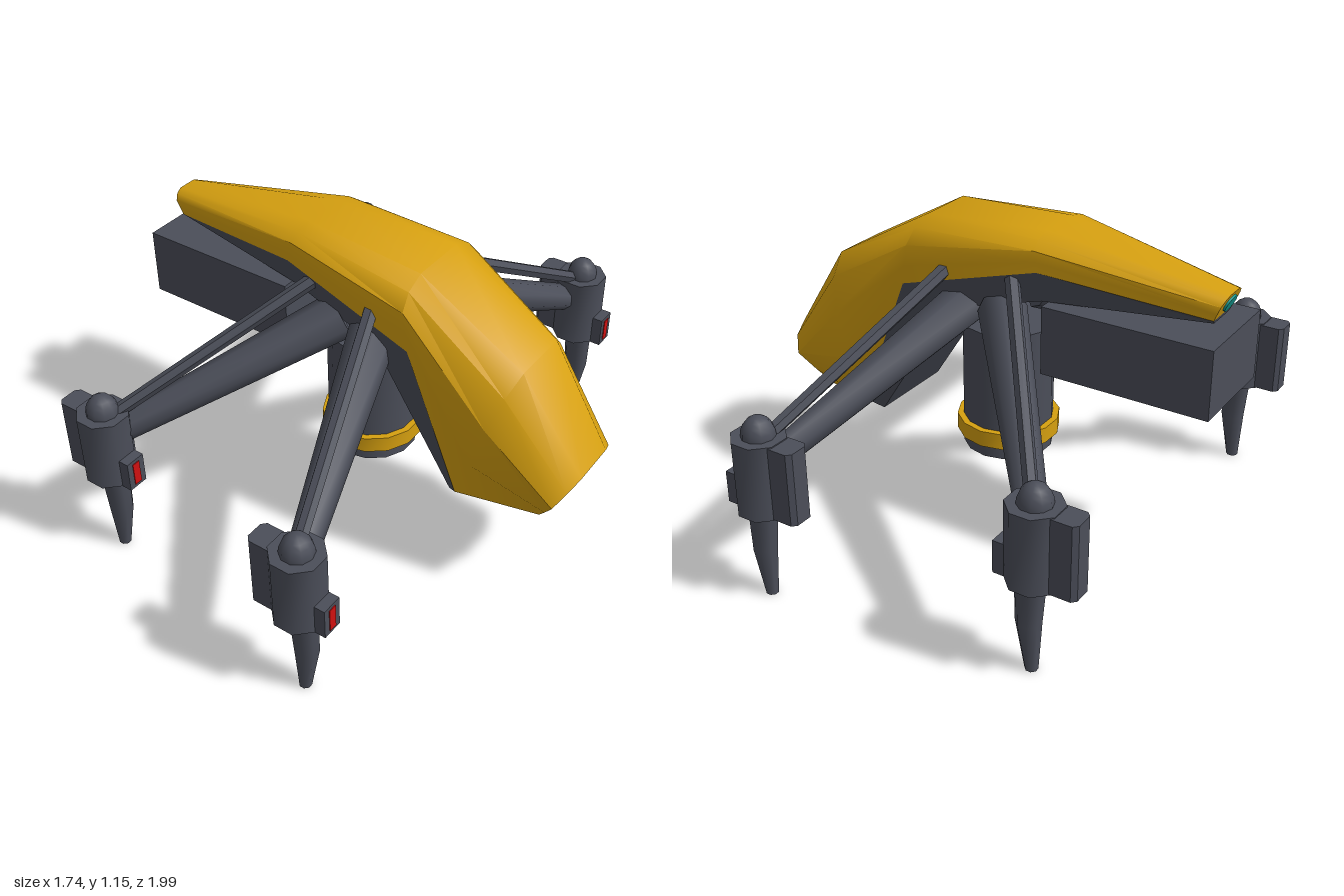
import * as THREE from 'three';
import { toCreasedNormals } from 'three/addons/utils/BufferGeometryUtils.js';

const mat = (color) => new THREE.MeshStandardMaterial({ color });
const GREY = mat(0x4b4e59), YELLOW = mat(0xd6a010), RED = mat(0xd01010), TEAL = mat(0x159a90);

function add(parent, name, geometry, material, x = 0, y = 0, z = 0) {
  const m = new THREE.Mesh(geometry, material);
  m.name = name;
  m.position.set(x, y, z);
  parent.add(m);
  return m;
}

// Skin over a row of cross-sections, capped at both ends
function loft(rings, closed, crease = 0.6) {
  const n = rings[0].length, index = [];
  const last = (rings.length - 1) * n;
  for (let i = 0; i < rings.length - 1; i++) {
    for (let j = 0; j < (closed ? n : n - 1); j++) {
      const a = i * n + j, b = i * n + (j + 1) % n;
      index.push(a, a + n, b, b, a + n, b + n);
    }
  }
  for (let j = 1; j < n - 1; j++) index.push(0, j, j + 1, last, last + j + 1, last + j);
  const g = new THREE.BufferGeometry();
  g.setAttribute('position', new THREE.Float32BufferAttribute(rings.flat(2), 3));
  g.setIndex(index);
  g.computeVertexNormals();
  return toCreasedNormals(g, crease);
}

// Tapered tube between two points
function strut(parent, name, from, to, r0, r1, sides) {
  const a = new THREE.Vector3(...from), b = new THREE.Vector3(...to);
  const dir = b.clone().sub(a);
  const g = toCreasedNormals(new THREE.CylinderGeometry(r1, r0, dir.length(), sides), 0.9);
  const m = add(parent, name, g, GREY);
  m.position.copy(a).add(b).multiplyScalar(0.5);
  m.quaternion.setFromUnitVectors(new THREE.Vector3(0, 1, 0), dir.normalize());
}

// Body stations: top, shell edge and belly points (x, y), half width, edge half width
const STATIONS = [
  { t: [-0.85, 1.05], e: [-0.815, 0.967], g: [-0.81, 0.952], w: 0.075, we: 0.07 },
  { t: [-0.22, 1.15], e: [-0.24, 1.04], g: [-0.24, 0.925], w: 0.18, we: 0.185 },
  { t: [0.24, 1.125], e: [0.27, 0.90], g: [0.11, 0.83], w: 0.225, we: 0.225 },
  { t: [0.635, 0.90], e: [0.47, 0.39], g: [0.42, 0.345], w: 0.23, we: 0.22 },
  { t: [0.865, 0.555], e: [0.73, 0.322], g: [0.73, 0.31], w: 0.185, we: 0.09 },
];

function buildBody(group) {
  // Arch: depth from top to edge, share of the half width
  const arch = [[1, 1], [0.7, 1], [0.36, 1], [0.13, 0.8], [0, 0.47]];
  const shell = STATIONS.map(({ t, e, w, we }) => {
    const half = arch.map(([d, s]) => [
      t[0] + (e[0] - t[0]) * d,
      t[1] + (e[1] - t[1]) * d,
      s * (d === 1 ? we : d === 0.7 ? (w + we) / 2 : w),
    ]);
    return [...half, ...half.map(([x, y, z]) => [x, y, -z]).reverse()];
  });
  add(group, 'bodyShell', loft(shell, false, 0.75), YELLOW);

  const belly = STATIONS.map(({ e, g, we }) => [
    [...e, -we], [...g, -we * 0.78], [...g, we * 0.78], [...e, we],
  ]);
  add(group, 'belly', loft(belly, false, 0.4), GREY);

  // Tail light set into the end of the shell
  const light = new THREE.CylinderGeometry(0.03, 0.03, 0.012, 12);
  const tail = add(group, 'tailLight', light, TEAL, -0.834, 1.009, 0);
  tail.rotation.z = Math.PI / 2 + 0.4;
  tail.scale.z = 1.3;

  add(group, 'batteryPod', new THREE.BoxGeometry(0.61, 0.245, 0.365), GREY, -0.565, 0.802, 0);
}

function buildCamera(group) {
  const cam = new THREE.Group();
  cam.name = 'camera';
  cam.position.x = -0.02;
  group.add(cam);
  const drum = (name, r, y0, y1, m) => add(cam, name,
    toCreasedNormals(new THREE.CylinderGeometry(r, r, y1 - y0, 14), 0.6), m, 0, (y0 + y1) / 2, 0);
  drum('cameraBarrel', 0.163, 0.273, 0.755, GREY);
  drum('cameraRing', 0.186, 0.325, 0.385, YELLOW);
  drum('cameraNeck', 0.047, 0.74, 0.95, GREY);
}

// Motor housing with dome, fin, lamp and landing leg
function buildMotor(group, x, z) {
  const pod = new THREE.Group();
  pod.name = 'motorPod';
  pod.position.set(x, 0, z);
  group.add(pod);

  const housing = new THREE.CylinderGeometry(0.094, 0.094, 0.27, 8);
  housing.rotateY(Math.PI / 8);
  add(pod, 'motorHousing', toCreasedNormals(housing, 0.9), GREY, 0, 0.475, 0);

  const dome = new THREE.SphereGeometry(0.058, 10, 5, 0, Math.PI * 2, 0, Math.PI / 2);
  add(pod, 'motorDome', dome.scale(1, 1.25, 1), GREY, 0, 0.608, 0);

  // Fin with chamfered upright corners
  const fin = new THREE.Shape([[-0.165, -0.03], [-0.15, -0.046], [-0.05, -0.046],
    [-0.05, 0.046], [-0.15, 0.046], [-0.165, 0.03]].map(([a, b]) => new THREE.Vector2(a, b)));
  const finGeo = new THREE.ExtrudeGeometry(fin, { depth: 0.262, bevelEnabled: false });
  add(pod, 'motorFin', finGeo.rotateX(-Math.PI / 2), GREY, 0, 0.344, 0);

  add(pod, 'lampHousing', new THREE.BoxGeometry(0.07, 0.115, 0.075), GREY, 0.09, 0.397, 0);
  add(pod, 'lamp', new THREE.BoxGeometry(0.01, 0.088, 0.03), RED, 0.123, 0.397, 0);

  const leg = [[0.36, 0.012, 0.052], [0.18, 0.018, 0.043], [0, 0.006, 0.022]].map(([y, cx, r]) =>
    Array.from({ length: 8 }, (_, i) => {
      const a = (i + 0.5) * Math.PI / 4;
      return [cx + r * Math.cos(a), y, -r * Math.sin(a)];
    }));
  add(pod, 'landingLeg', loft(leg, true, 0.9), GREY);
}

export function createModel() {
  const group = new THREE.Group();
  group.name = 'drone';
  buildBody(group);
  buildCamera(group);

  for (const s of [1, -1]) {
    // Front pair
    strut(group, 'frontArm', [0.07, 0.85, 0.12 * s], [0.31, 0.52, 0.86 * s], 0.085, 0.05, 8);
    strut(group, 'frontRod', [0.1, 0.995, 0.17 * s], [0.32, 0.61, 0.87 * s], 0.026, 0.024, 6);
    buildMotor(group, 0.34, 0.91 * s);
    // Rear pair
    strut(group, 'rearArm', [-0.07, 0.85, 0.12 * s], [-0.57, 0.52, 0.73 * s], 0.085, 0.05, 8);
    strut(group, 'rearRod', [-0.14, 0.995, 0.17 * s], [-0.57, 0.6, 0.74 * s], 0.026, 0.024, 6);
    buildMotor(group, -0.6, 0.77 * s);
  }
  return group;
}
